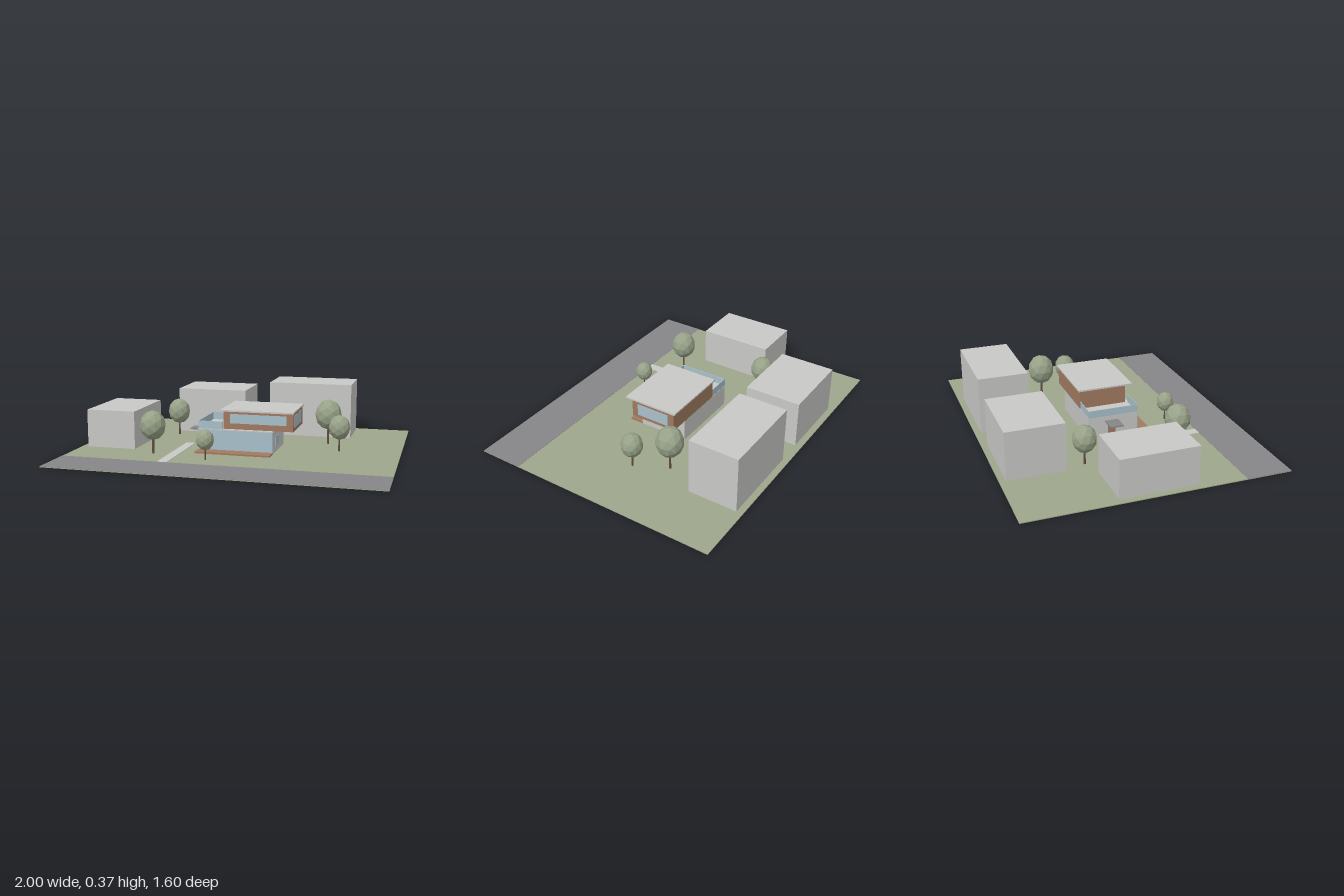
import * as THREE from 'three';

const mat = (name, color) => {
  const m = new THREE.MeshStandardMaterial({ color });
  m.name = name;
  return m;
};

export function createModel() {
  const root = new THREE.Group();
  root.name = 'housePlot';

  const grass = mat('grass', 0x9da68c);
  const asphalt = mat('asphalt', 0x868688);
  const concrete = mat('concrete', 0xc8c8c6);
  const wood = mat('wood', 0xa07a60);
  const glass = mat('glass', 0xa8c0ca);
  const leaves = mat('leaves', 0x98a288);
  leaves.flatShading = true;
  const bark = mat('bark', 0x65503f);

  // Box given by its limits on each axis
  const block = (parent, name, material, [x0, x1], [y0, y1], [z0, z1]) => {
    const mesh = new THREE.Mesh(new THREE.BoxGeometry(x1 - x0, y1 - y0, z1 - z0), material);
    mesh.position.set((x0 + x1) / 2, (y0 + y1) / 2, (z0 + z1) / 2);
    mesh.name = name;
    parent.add(mesh);
    return mesh;
  };
  const group = (name) => {
    const g = new THREE.Group();
    g.name = name;
    root.add(g);
    return g;
  };

  // Site
  const G = 0.005;
  const site = group('site');
  block(site, 'lawn', grass, [-1, 1], [0, G], [-0.8, 0.8]);
  block(site, 'road', asphalt, [-1, 1], [G, 0.0065], [0.52, 0.8]);
  block(site, 'path', concrete, [-0.385, -0.325], [G, 0.007], [-0.03, 0.52]);

  // Neighbouring blocks
  const neighbours = group('neighbours');
  [
    [[-0.96, -0.64], 0.245, [-0.24, 0.235]],
    [[-0.56, -0.085], 0.305, [-0.76, -0.405]],
    [[0.08, 0.635], 0.365, [-0.76, -0.445]],
  ].forEach(([x, h, z]) => block(neighbours, 'neighbourBlock', concrete, x, [G, h], z));

  // Ground floor
  const ground = group('groundFloor');
  block(ground, 'walls', concrete, [-0.24, 0.237], [G, 0.14], [-0.16, 0.157]);
  block(ground, 'terraceSlab', concrete, [-0.242, 0.239], [0.14, 0.147], [-0.162, 0.162]);
  block(ground, 'frontGlazing', glass, [-0.24, 0.237], [0.015, 0.14], [0.157, 0.161]);
  block(ground, 'sideWindow', glass, [0.237, 0.239], [0.043, 0.102], [-0.018, 0.078]);
  block(ground, 'deck', wood, [-0.24, 0.237], [G, 0.015], [0.157, 0.247]);
  block(ground, 'frontDoor', wood, [-0.242, -0.24], [0.007, 0.1], [-0.035, 0.015]);
  block(ground, 'entranceCanopy', asphalt, [-0.337, -0.24], [0.11, 0.118], [-0.053, 0.032]);

  // Glass balustrade round the open terrace
  const rail = group('balustrade');
  block(rail, 'railLeft', glass, [-0.241, -0.237], [0.147, 0.195], [-0.16, 0.16]);
  block(rail, 'railFront', glass, [-0.237, -0.082], [0.147, 0.195], [0.156, 0.16]);
  block(rail, 'railBack', glass, [-0.237, -0.082], [0.147, 0.195], [-0.16, -0.156]);

  // Timber upper floor with overhanging roof
  const upper = group('upperFloor');
  block(upper, 'timberWalls', wood, [-0.082, 0.36], [0.147, 0.264], [-0.162, 0.14]);
  block(upper, 'frontWindow', glass, [-0.04, 0.318], [0.184, 0.243], [0.14, 0.142]);
  block(upper, 'sideWindow', glass, [0.36, 0.362], [0.167, 0.244], [-0.12, 0.1]);
  block(upper, 'roof', concrete, [-0.092, 0.368], [0.264, 0.274], [-0.172, 0.183]);

  // Trees: x, z, crown radius, crown centre height
  [
    [-0.52, -0.283, 0.074, 0.168],
    [-0.483, 0.318, 0.08, 0.183],
    [-0.122, 0.4, 0.055, 0.128],
    [0.517, -0.24, 0.086, 0.198],
    [0.618, -0.04, 0.068, 0.156],
  ].forEach(([x, z, r, y]) => {
    const tree = group('tree');
    tree.position.set(x, 0, z);
    const trunk = new THREE.Mesh(new THREE.CylinderGeometry(r * 0.07, r * 0.095, y - G, 6), bark);
    trunk.position.y = (y + G) / 2;
    trunk.name = 'trunk';
    const crown = new THREE.Mesh(new THREE.IcosahedronGeometry(r, 1), leaves);
    crown.scale.y = 1.16;
    crown.position.y = y;
    crown.name = 'crown';
    tree.add(trunk, crown);
  });

  return root;
}
